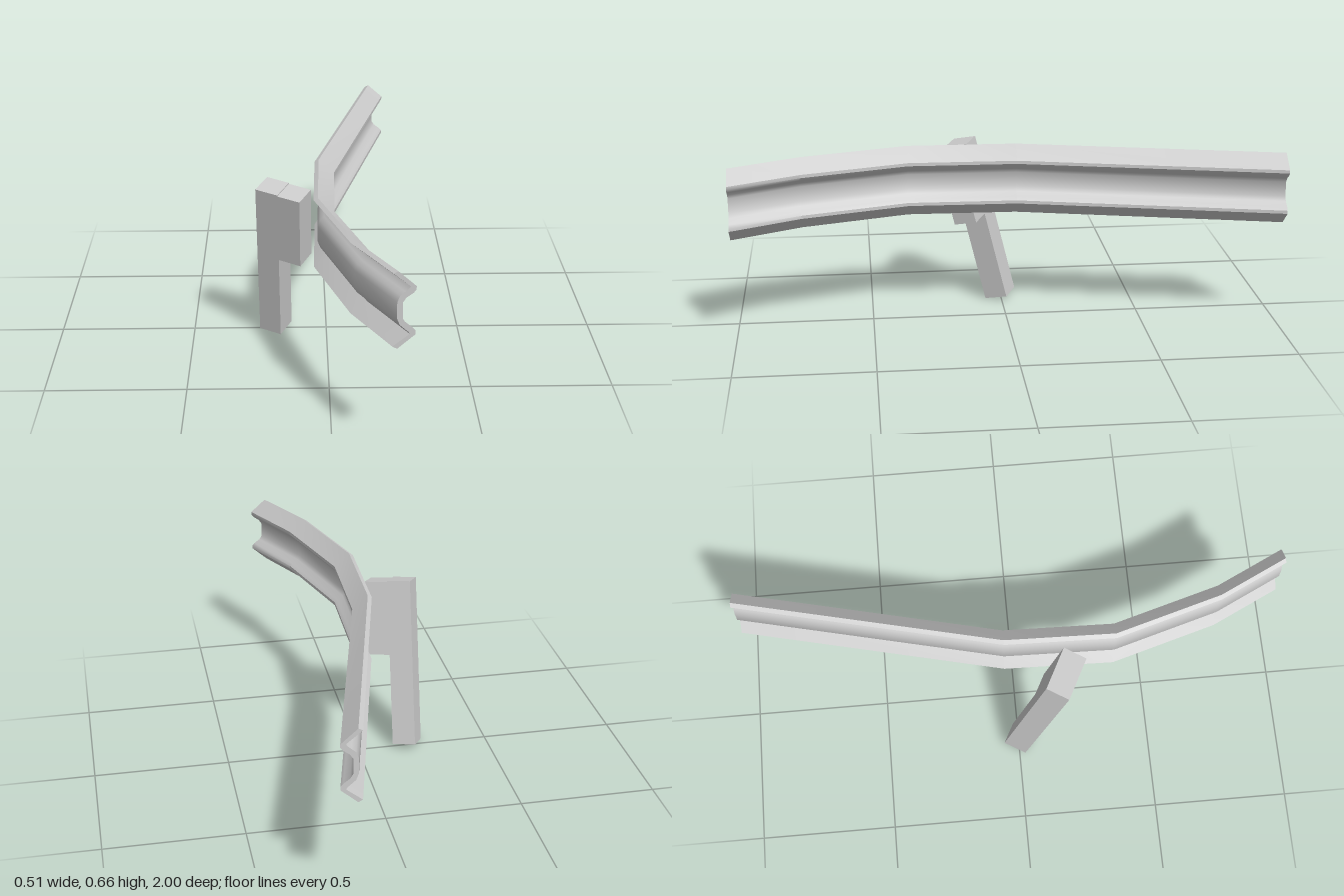
import * as THREE from 'three';
import { toCreasedNormals } from 'three/addons/utils/BufferGeometryUtils.js';

const material = new THREE.MeshStandardMaterial({ color: 0xcccccc });

// W-beam profile, upper half as [x, height above the rail's centre line]
const outerHalf = [[0.2, 0.132], [0.257, 0.082], [0.257, 0.07], [0.248, 0.059], [0.226, 0.043], [0.216, 0.027]];
const innerHalf = [[0.185, 0.124], [0.239, 0.081], [0.234, 0.073], [0.222, 0.063], [0.207, 0.05], [0.198, 0.027]];
const RAIL_Y = 0.5325;

// Path of the bent rail: [x offset, z] from the front end to the back end
const path = [[0, 1], [-0.122, 0.75], [-0.236, 0.36], [-0.227, -0.04], [0, -1]];

function mirrorHalf(half) {
  return [...half, ...half.map(([x, h]) => [x, -h]).reverse()];
}

function createRail() {
  // Closed loop: down the outer face, back up the inner face
  const loop = [...mirrorHalf(outerHalf), ...mirrorHalf(innerHalf).reverse()];
  const n = loop.length;
  const positions = [];
  for (const [dx, z] of path) {
    for (const [x, h] of loop) positions.push(x + dx, RAIL_Y + h, z);
  }

  const index = [];
  const quad = (a, b, c, d) => index.push(a, b, c, a, c, d);
  const last = (path.length - 1) * n;
  for (let k = 0; k < path.length - 1; k++) {
    for (let i = 0; i < n; i++) {
      const j = (i + 1) % n;
      quad(k * n + i, k * n + j, (k + 1) * n + j, (k + 1) * n + i);
    }
  }
  // End caps join the outer points to the matching inner points
  for (let i = 0; i < n / 2 - 1; i++) {
    quad(i, n - 1 - i, n - 2 - i, i + 1);
    quad(last + i, last + i + 1, last + n - 2 - i, last + n - 1 - i);
  }

  const geometry = new THREE.BufferGeometry();
  geometry.setAttribute('position', new THREE.Float32BufferAttribute(positions, 3));
  geometry.setIndex(index);
  const rail = new THREE.Mesh(toCreasedNormals(geometry, 0.65), material);
  rail.name = 'guardRail';
  return rail;
}

function box(name, width, height, depth, x, y) {
  const mesh = new THREE.Mesh(new THREE.BoxGeometry(width, height, depth), material);
  mesh.position.set(x, y, 0);
  mesh.name = name;
  return mesh;
}

function createSupport() {
  const support = new THREE.Group();
  support.name = 'leaningSupport';
  const size = 0.088;
  support.add(box('post', size, 0.634, 0.09, 0, 0.317));
  support.add(box('spacerBlock', size, 0.28, 0.09, size, 0.49));

  // Lean the post forward and turn it around its own axis
  const up = new THREE.Vector3(-0.005, 0.616, 0.15).normalize();
  const side = new THREE.Vector3(0.078, -0.01, 0.039);
  side.addScaledVector(up, -side.dot(up)).normalize();
  const forward = new THREE.Vector3().crossVectors(side, up);
  support.quaternion.setFromRotationMatrix(new THREE.Matrix4().makeBasis(side, up, forward));
  support.position.set(-0.1915, 0.017, 0.0025);
  return support;
}

export function createModel() {
  const model = new THREE.Group();
  model.name = 'guardRailSection';
  model.add(createRail(), createSupport());
  return model;
}
